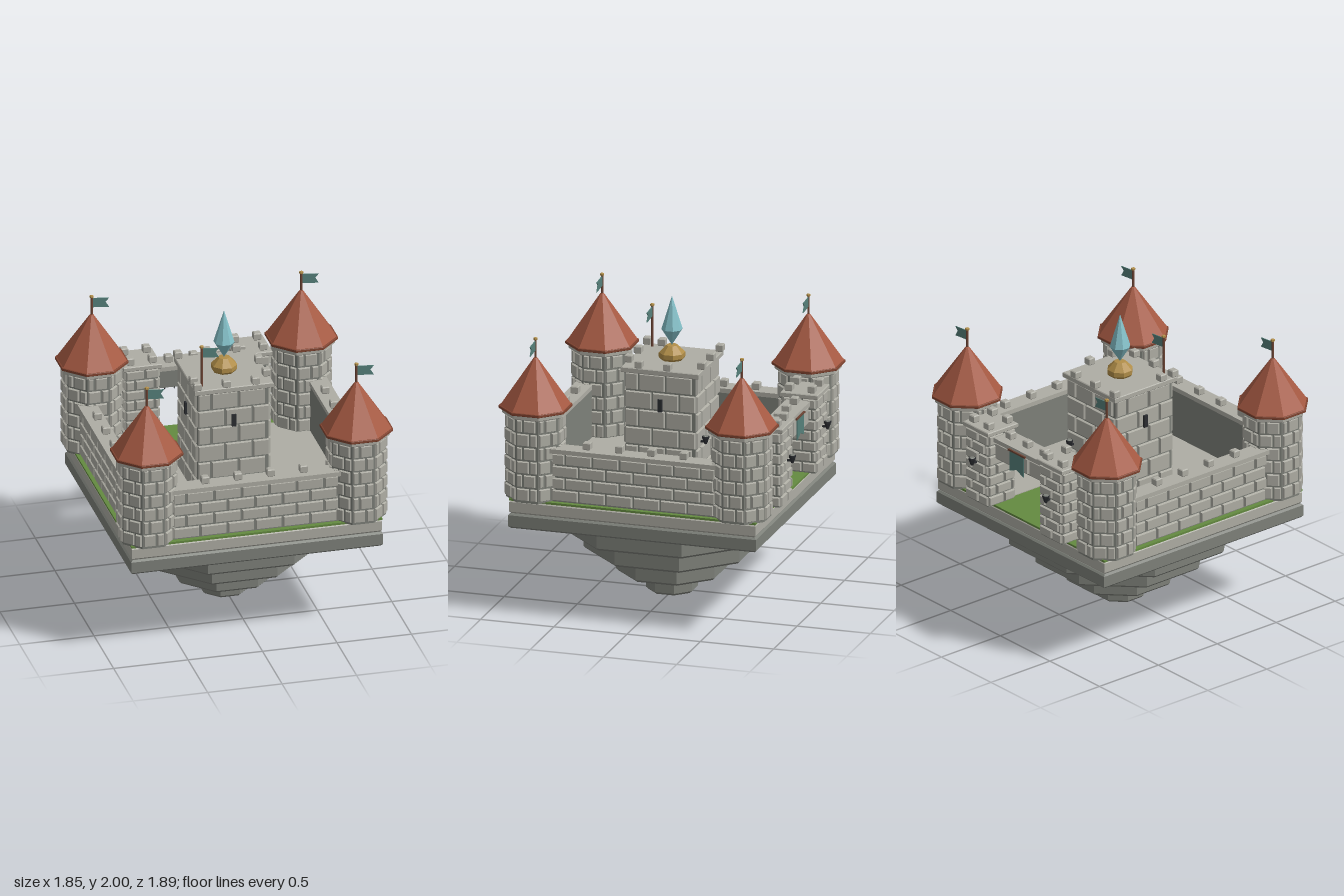
import * as THREE from 'three';
import { mergeGeometries } from 'three/addons/utils/BufferGeometryUtils.js';

const mat = (name, color, side = THREE.FrontSide) =>
  Object.assign(new THREE.MeshStandardMaterial({ color, side }), { name });

export function createModel() {
  const stone = mat('light stone', 0xaeada4), rock = mat('dark rock', 0x7e817a);
  const tile = mat('roof tile', 0xa65a43), trim = mat('roof trim', 0x824430);
  const grass = mat('grass', 0x648a40), gold = mat('gold', 0xb08d48);
  const ice = mat('crystal', 0x84c0c8), cloth = mat('cloth', 0x55807a);
  const wood = mat('wood', 0x6e4535), iron = mat('iron', 0x2b2d31);

  const root = new THREE.Group();
  root.name = 'floatingCastle';
  const castle = new THREE.Group();
  castle.name = 'castle';
  castle.position.z = 0.016;
  root.add(castle);

  const group = (name, parent = castle) => {
    const g = new THREE.Group();
    g.name = name;
    parent.add(g);
    return g;
  };
  const put = (parent, name, geo, material, x = 0, y = 0, z = 0) => {
    const m = new THREE.Mesh(geo, material);
    m.name = name;
    m.position.set(x, y, z);
    parent.add(m);
    return m;
  };
  const flat = (geo) => {
    const g = geo.index ? geo.toNonIndexed() : geo;
    g.computeVertexNormals();
    return g;
  };
  // Faceted solid with flat sides facing the axes; profile is [apothem, y] from bottom to top
  const prism = (sides, profile) => flat(new THREE.LatheGeometry(
    profile.map(([r, y]) => new THREE.Vector2(r / Math.cos(Math.PI / sides), y)),
    sides, Math.PI / sides));
  const slab = (sides, r, y0, y1, b = 0.012) =>
    prism(sides, [[0, y0], [r - b, y0], [r, y0 + b], [r, y1 - b], [r - b, y1], [0, y1]]);
  const box = (parent, name, material, x0, x1, y0, y1, z0, z1) =>
    put(parent, name, new THREE.BoxGeometry(x1 - x0, y1 - y0, z1 - z0), material,
      (x0 + x1) / 2, (y0 + y1) / 2, (z0 + z1) / 2);

  // One block whose outer face is slightly smaller than its back
  const brick = (x0, x1, y0, y1, depth) => {
    const g = new THREE.BoxGeometry(x1 - x0, y1 - y0, depth), p = g.attributes.position;
    for (let i = 0; i < p.count; i++) if (p.getZ(i) > 0) {
      p.setX(i, p.getX(i) - Math.sign(p.getX(i)) * 0.006);
      p.setY(i, p.getY(i) - Math.sign(p.getY(i)) * 0.006);
    }
    g.translate((x0 + x1) / 2, (y0 + y1) / 2, depth / 2);
    return flat(g);
  };
  // Staggered courses on a face of the given width, looking along +z
  const courses = (width, y0, y1, rows, length, depth = 0.016) => {
    const list = [], h = (y1 - y0) / rows, gap = 0.005;
    for (let r = 0; r < rows; r++) {
      let x = -width / 2 - (r % 2 ? length / 2 : 0);
      for (; x < width / 2 - 0.001; x += length) {
        const a = Math.max(x, -width / 2), b = Math.min(x + length, width / 2);
        if (b - a > 0.025)
          list.push(brick(a + gap, b - gap, y0 + r * h + gap, y0 + (r + 1) * h - gap, depth));
      }
    }
    return mergeGeometries(list);
  };
  const merlonGeo = slab(4, 0.025, 0, 0.05, 0.006);
  const merlon = (parent, x, y, z) => put(parent, 'merlon', merlonGeo, stone, x, y, z);

  // Floating rock island
  const island = group('island');
  put(island, 'upperSlab', slab(4, 0.84, 0.69, 0.78), stone);
  put(island, 'lowerSlab', slab(4, 0.845, 0.59, 0.69), rock);
  [[0.70, 0.445, 0.59], [0.532, 0.288, 0.442], [0.336, 0.13, 0.286], [0.157, 0, 0.128]]
    .forEach(([r, a, b]) => put(island, 'rockTier', slab(8, r, a, b, 0.016), rock));
  box(island, 'lawn', grass, -0.842, 0.842, 0.778, 0.792, -0.842, 0.842);
  // Paved yard leaving a grass path behind the gate
  box(island, 'yardPaving', stone, -0.72, 0.72, 0.79, 0.797, -0.286, 0.72);
  for (const s of [-1, 1])
    box(island, 'sidePaving', stone, s < 0 ? -0.72 : 0.285, s < 0 ? -0.285 : 0.72, 0.79, 0.797, -0.7, -0.286);

  // Front and side curtain walls
  const wallBricks = courses(1.12, 0.795, 1.125, 4, 0.185);
  [0, Math.PI / 2, -Math.PI / 2].forEach((angle) => {
    const wall = group('curtainWall');
    wall.rotation.y = angle;
    box(wall, 'wallCore', rock, -0.58, 0.58, 0.79, 1.125, 0.715, 0.808);
    put(wall, 'wallBricks', wallBricks, stone, 0, 0, 0.807);
    box(wall, 'wallCap', stone, -0.58, 0.58, 1.125, 1.155, 0.71, 0.835);
    for (const x of [-0.33, -0.11, 0.11, 0.33]) merlon(wall, x, 1.155, 0.765);
  });

  // Swallow-tailed flag on a pole with a gold finial
  const flagShape = new THREE.Shape([[0, 1], [0.112, 0.99], [0.088, 0.965], [0.112, 0.925], [0, 0.935]]
    .map(([x, y]) => new THREE.Vector2(x, y - 1)));
  const flagGeo = new THREE.ExtrudeGeometry(flagShape, { depth: 0.006, bevelEnabled: false });
  const flag = (parent, x, y0, y1, z) => {
    const f = group('flag', parent);
    f.position.set(x, 0, z);
    put(f, 'pole', new THREE.CylinderGeometry(0.008, 0.008, y1 - y0, 6), wood, 0, (y0 + y1) / 2);
    put(f, 'finial', prism(6, [[0, -0.012], [0.012, -0.006], [0.012, 0.006], [0, 0.012]]), gold, 0, y1);
    put(f, 'pennant', flagGeo, cloth, 0.005, y1 - 0.012, -0.003);
  };

  // Four octagonal corner towers
  const face = 2 * 0.178 * Math.tan(Math.PI / 8);
  const towerBricks = courses(face, 0.795, 1.355, 6, face * 0.62, 0.014);
  for (const sx of [-1, 1]) for (const sz of [-1, 1]) {
    const tower = group('cornerTower');
    tower.position.set(sx * 0.704, 0, sz * 0.704);
    put(tower, 'towerCore', prism(8, [[0, 0.785], [0.178, 0.785], [0.178, 1.36], [0, 1.36]]), rock);
    for (let i = 0; i < 8; i++) {
      const side = group('towerSide', tower);
      side.rotation.y = i * Math.PI / 4;
      put(side, 'towerBricks', towerBricks, stone, 0, 0, 0.177);
    }
    put(tower, 'towerCap', slab(8, 0.203, 1.355, 1.395, 0.006), stone);
    put(tower, 'eaves', slab(8, 0.223, 1.388, 1.408, 0.003), trim);
    put(tower, 'roof', prism(8, [[0.216, 1.405], [0.012, 1.725], [0, 1.73]]), tile);
    flag(tower, 0, 1.7, 1.855, 0);
  }

  // Square block of masonry bricked on all four sides
  const masonry = (parent, half, y0, y1, rows, length) => {
    const core = half - 0.015;
    box(parent, 'core', rock, -core, core, y0, y1, -core, core);
    const bricks = courses(2 * core + 0.012, y0 + 0.004, y1, rows, length);
    for (let i = 0; i < 4; i++) {
      const side = group('side', parent);
      side.rotation.y = i * Math.PI / 2;
      put(side, 'bricks', bricks, stone, 0, 0, core - 0.001);
    }
  };

  // Wall lamp: bowl on a short bracket reaching towards the wall at +z
  const lamp = (parent, x, y, z) => {
    const l = group('wallLamp', parent);
    l.position.set(x, y, z);
    put(l, 'bowl', prism(6, [[0, -0.035], [0.008, -0.03], [0.021, 0.012], [0.021, 0.022], [0, 0.022]]), iron);
    put(l, 'embers', slab(6, 0.017, 0.018, 0.026, 0.003), rock);
    box(l, 'bracket', iron, -0.006, 0.006, -0.022, -0.01, 0, 0.035);
  };

  // Central keep
  const keep = group('keep');
  masonry(keep, 0.252, 0.79, 1.535, 6, 0.185);
  put(keep, 'keepCap', slab(4, 0.265, 1.533, 1.57, 0.005), stone);
  for (const x of [-0.245, -0.05, 0.145]) for (const z of [-0.25, 0.245]) merlon(keep, x, 1.57, z);
  for (const [x, z] of [[-0.245, 0.145], [0.245, -0.05], [0.245, 0.145]]) merlon(keep, x, 1.57, z);
  for (const a of [0, 1, -1]) {
    const w = group('arrowSlit', keep);
    w.rotation.y = a * Math.PI / 2;
    box(w, 'slit', iron, -0.015, 0.015, 1.285, 1.37, 0.256, 0.265);
    box(w, 'slitBack', iron, -0.015, 0.015, 1.285, 1.37, 0.248, 0.256);
  }
  flag(keep, -0.203, 1.57, 1.855, 0.2);
  lamp(keep, 0.17, 1.1, -0.285);
  put(keep, 'pedestal', prism(8, [[0, 1.57], [0.07, 1.57], [0.08, 1.585], [0.08, 1.615], [0.035, 1.665], [0, 1.668]]), gold);
  put(keep, 'crystal', prism(8, [[0, 1.665], [0.064, 1.775], [0, 2]]), ice);

  // Rear gatehouse: two turrets and a bridge over the opening
  const gate = group('gatehouse');
  for (const s of [-1, 1]) {
    const turret = group('gateTurret', gate);
    turret.position.set(s * 0.372, 0, -0.786);
    masonry(turret, 0.122, 0.79, 1.3, 7, 0.13);
    put(turret, 'turretCap', slab(4, 0.128, 1.3, 1.332, 0.005), stone);
    for (const x of [-0.075, 0.075]) for (const z of [-0.075, 0.08]) merlon(turret, x, 1.332, z);
    lamp(turret, 0, 1.1, -0.156);
  }
  box(gate, 'bridgeCore', rock, -0.26, 0.26, 1.13, 1.255, -0.84, -0.715);
  const bridgeBricks = put(gate, 'bridgeBricks', courses(0.5, 1.133, 1.255, 1, 0.17), stone, 0, 0, -0.839);
  bridgeBricks.rotation.y = Math.PI;
  box(gate, 'bridgeCap', stone, -0.26, 0.26, 1.255, 1.285, -0.862, -0.7);
  for (const x of [-0.17, 0, 0.17]) merlon(gate, x, 1.285, -0.781);
  for (let i = -3; i <= 3; i++)
    put(gate, 'gateSpike', prism(4, [[0, -0.04], [0.008, -0.015], [0.008, 0.01]]), iron, i * 0.065, 1.125, -0.775);
  // Banner over the opening
  box(gate, 'bannerRod', wood, -0.085, 0.085, 1.262, 1.274, -0.882, -0.87);
  const bannerShape = new THREE.Shape([[-0.07, 1.265], [-0.07, 1.12], [0, 1.15], [0.07, 1.12], [0.07, 1.265]]
    .map(([x, y]) => new THREE.Vector2(x, y)));
  put(gate, 'banner', new THREE.ExtrudeGeometry(bannerShape, { depth: 0.006, bevelEnabled: false }),
    cloth, 0, 0, -0.879);

  return root;
}
